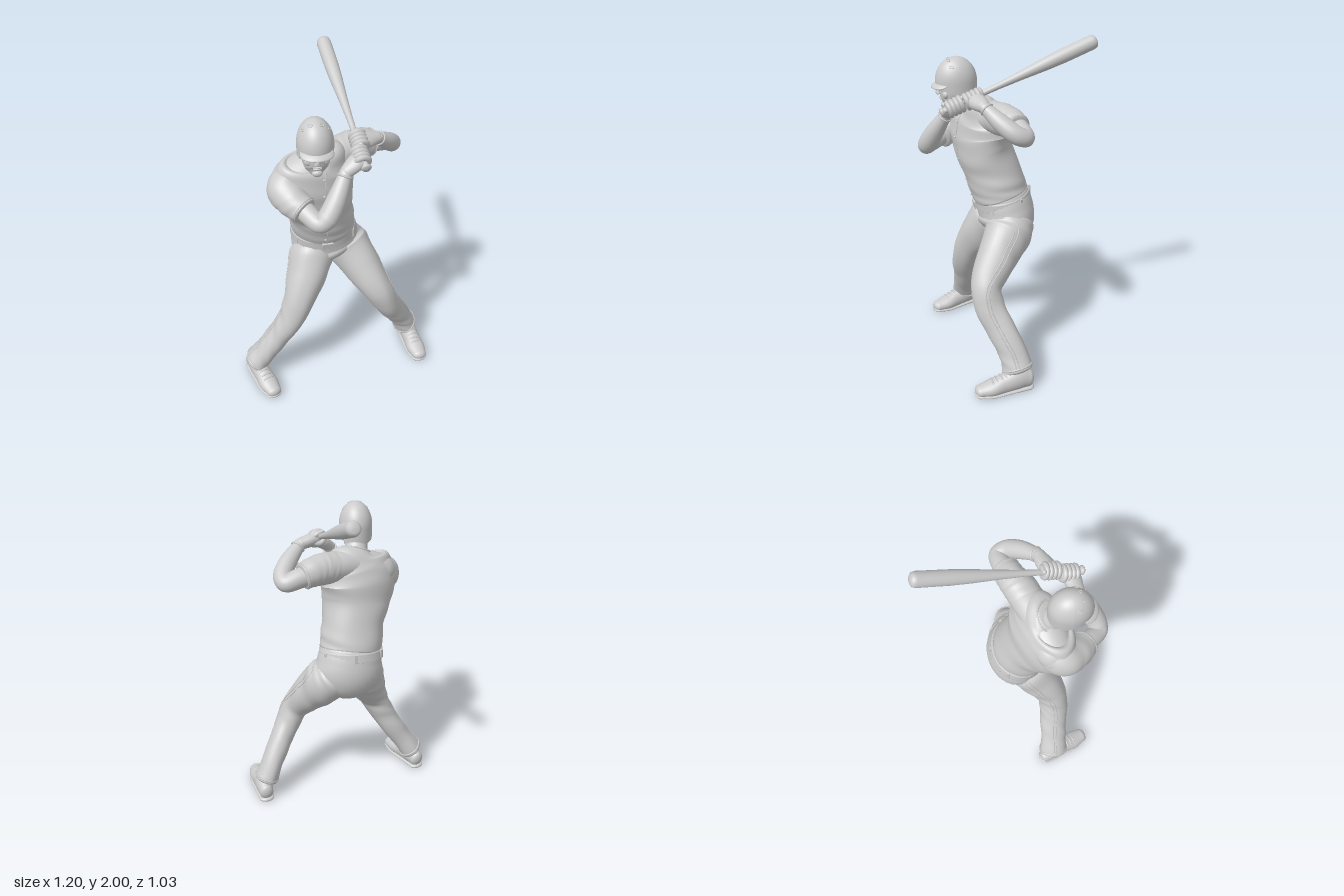
import * as THREE from 'three';

const V = (x, y, z) => new THREE.Vector3(x, y, z);
const grey = new THREE.MeshStandardMaterial({ color: 0xcccccc, side: THREE.DoubleSide });
const X = V(1, 0, 0);

function add(parent, name, geometry, position, scale, rotation) {
  const mesh = new THREE.Mesh(geometry, grey);
  mesh.name = name;
  if (position) mesh.position.set(...position);
  if (scale) mesh.scale.set(...scale);
  if (rotation) mesh.rotation.set(...rotation);
  parent.add(mesh);
  return mesh;
}

// Smooth sweep through rings [x, y, z, radiusU, radiusV, twist]; returns a surface sampler
function sweep(parent, name, rings, { cap = 0.02, folds = 0, ref = X, n = 32, floor = false } = {}) {
  const path = new THREE.CatmullRomCurve3(rings.map(r => V(r[0], r[1], r[2])));
  const size = new THREE.CatmullRomCurve3(rings.map(r => V(r[3], r[4], r[5] || 0)), false, 'catmullrom', 0.4);
  const at = (t, angle, scale = 1, push = 0) => {
    const c = path.getPoint(t), T = path.getTangent(t), s = size.getPoint(t);
    const U = ref.clone().addScaledVector(T, -ref.dot(T)).normalize();
    const W = T.clone().cross(U);
    const f = scale * (1 + folds * Math.sin(t * 30 + 4 * Math.sin(angle + t * 5)) * Math.sin(angle * 2 + t * 9));
    const u = s.x * f * Math.cos(angle), v = s.y * f * Math.sin(angle);
    const cs = Math.cos(s.z), sn = Math.sin(s.z);
    const p = c.addScaledVector(U, u * cs - v * sn).addScaledVector(W, u * sn + v * cs).addScaledVector(T, push);
    if (floor) p.y = Math.max(p.y, 0);
    return p;
  };
  const rows = [], steps = (rings.length - 1) * 8;
  for (let k = 5; k > 0; k--) rows.push([0, Math.cos(k * Math.PI / 10) + 0.01, -cap * Math.sin(k * Math.PI / 10)]);
  for (let i = 0; i <= steps; i++) rows.push([i / steps, 1, 0]);
  for (let k = 1; k <= 5; k++) rows.push([1, Math.cos(k * Math.PI / 10) + 0.01, cap * Math.sin(k * Math.PI / 10)]);
  const pos = [], index = [];
  rows.forEach(([t, s, push], i) => {
    for (let j = 0; j < n; j++) {
      pos.push(...at(t, j / n * Math.PI * 2, s, push).toArray());
      if (i === rows.length - 1) continue;
      const a = i * n + j, b = i * n + (j + 1) % n;
      index.push(a, b, a + n, b, b + n, a + n);
    }
  });
  const g = new THREE.BufferGeometry();
  g.setAttribute('position', new THREE.Float32BufferAttribute(pos, 3));
  g.setIndex(index);
  g.computeVertexNormals();
  add(parent, name, g);
  return at;
}

// Thin raised seam following sampled surface points
function seam(parent, name, points, r = 0.005, closed = false) {
  add(parent, name, new THREE.TubeGeometry(new THREE.CatmullRomCurve3(points, closed), 60, r, 6, closed));
}
const range = (n, f) => Array.from({ length: n }, (_, i) => f(i));
const hoop = (at, t, scale = 1.01) => range(20, i => at(t, i / 20 * Math.PI * 2, scale));

export function createModel() {
  const model = new THREE.Group();
  model.name = 'batter';

  // Jersey, twisted toward the left shoulder
  const up = V(0.2, 1, 0.25).normalize();
  const shirt = sweep(model, 'jersey', [
    [-0.06, 1.03, 0.027, 0.19, 0.167, 0.08], [-0.07, 1.1, 0.05, 0.192, 0.17, 0.12],
    [-0.085, 1.2, 0.084, 0.192, 0.166, 0.2], [-0.108, 1.31, 0.124, 0.218, 0.166, 0.32],
    [-0.125, 1.42, 0.143, 0.25, 0.158, 0.4], [-0.115, 1.51, 0.152, 0.235, 0.135, 0.4],
    [-0.105, 1.57, 0.16, 0.17, 0.105, 0.35], [-0.115, 1.61, 0.18, 0.078, 0.074, 0.2]
  ], { folds: 0.014, cap: 0.01, n: 48 });
  sweep(model, 'shoulderYoke', [[0.12, 1.545, 0.03, 0.085, 0.09], [-0.02, 1.54, 0.1, 0.092, 0.1],
    [-0.13, 1.515, 0.155, 0.1, 0.112], [-0.25, 1.465, 0.19, 0.105, 0.115], [-0.3, 1.44, 0.215, 0.09, 0.095]],
    { ref: up, cap: 0.04 });
  seam(model, 'collar', hoop(shirt, 0.985, 1.01), 0.005, true);
  seam(model, 'placket', range(12, i => shirt(0.06 + i * 0.077, -Math.PI / 2 - 0.05, 1.002)), 0.003);
  range(5, i => add(model, 'button', new THREE.SphereGeometry(0.007, 10, 8),
    shirt(0.12 + i * 0.15, -Math.PI / 2 - 0.1, 1.005).toArray()));

  // Pelvis, belt and buckle
  sweep(model, 'pelvis', [
    [-0.06, 1.035, 0.025, 0.188, 0.162, -0.1], [-0.052, 0.97, 0.008, 0.2, 0.17, -0.1],
    [-0.04, 0.89, 0, 0.21, 0.17, -0.1], [-0.01, 0.82, 0.04, 0.15, 0.15, -0.1]
  ], { cap: 0.045 });
  sweep(model, 'belt', [[-0.06, 0.982, 0.014, 0.2, 0.173, 0.1], [-0.062, 1.035, 0.025, 0.196, 0.17, 0.1]],
    { cap: 0.002, n: 48 });
  add(model, 'buckle', new THREE.BoxGeometry(0.065, 0.044, 0.014), [-0.055, 0.975, 0.192], null, [0.2, 0.08, 0]);
  range(6, i => {
    const a = i / 6 * Math.PI * 2 + 0.5;
    add(model, 'beltLoop', new THREE.BoxGeometry(0.01, 0.055, 0.016),
      [-0.06 + 0.196 * Math.cos(a), 1.008 - 0.034 * Math.sin(a), 0.018 + 0.168 * Math.sin(a)], null, [0, -a, 0]);
  });

  // Trouser legs with outer piping and hems
  const legs = {
    right: [[-0.12, 0.9, 0.045, 0.11, 0.125], [-0.14, 0.84, 0.08, 0.13, 0.14], [-0.18, 0.73, 0.14, 0.122, 0.125],
      [-0.243, 0.58, 0.215, 0.092, 0.098], [-0.297, 0.46, 0.228, 0.08, 0.091], [-0.368, 0.34, 0.22, 0.073, 0.088],
      [-0.45, 0.22, 0.217, 0.07, 0.085], [-0.522, 0.115, 0.21, 0.076, 0.092]],
    left: [[0.05, 0.91, -0.015, 0.115, 0.13], [0.085, 0.85, 0, 0.135, 0.147], [0.165, 0.73, 0.075, 0.122, 0.125],
      [0.267, 0.58, 0.165, 0.092, 0.096], [0.322, 0.47, 0.155, 0.079, 0.088], [0.387, 0.35, 0.1, 0.072, 0.087],
      [0.45, 0.23, 0.04, 0.069, 0.085], [0.495, 0.125, 0.012, 0.074, 0.09]]
  };
  for (const side in legs) {
    const leg = sweep(model, side + 'Leg', legs[side], { folds: 0.035, cap: 0.025 });
    const out = side === 'left' ? 0 : Math.PI;
    for (const d of [-0.1, 0.1])
      seam(model, side + 'Piping', range(24, i => leg(0.08 + i * 0.039, out + d, 0.995)), 0.003);
    seam(model, side + 'Hem', hoop(leg, 0.985, 1), 0.006, true);
  }

  // Shoes: upper, sole, laces
  for (const [side, x, z, yaw] of [['left', 0.5, -0.07, 0.16], ['right', -0.56, 0.13, 0.41]]) {
    const shoe = new THREE.Group();
    shoe.name = side + 'Shoe';
    shoe.position.set(x, 0, z);
    shoe.rotation.y = yaw;
    const upper = sweep(shoe, 'upper', [[0, 0.06, 0.02, 0.045, 0.055], [0, 0.07, 0.09, 0.054, 0.07],
      [0, 0.055, 0.17, 0.054, 0.062], [0, 0.042, 0.25, 0.06, 0.047], [0, 0.036, 0.32, 0.046, 0.034]],
      { cap: 0.03, floor: true });
    sweep(shoe, 'sole', [[0, 0.01, 0.02, 0.048, 0.018], [0, 0.01, 0.12, 0.054, 0.016],
      [0, 0.01, 0.25, 0.062, 0.016], [0, 0.014, 0.32, 0.048, 0.016]], { cap: 0.033, floor: true });
    range(4, i => seam(shoe, 'lace', range(6, k => upper(0.45 + i * 0.09, 1.0 + k * 0.23, 1.02)), 0.005));
    model.add(shoe);
  }

  // Bat along its axis
  const knob = V(0.125, 1.615, 0.387), axis = V(0.018, 1.965, -0.507).sub(knob);
  const length = axis.length();
  const bat = new THREE.Group();
  bat.name = 'bat';
  bat.position.copy(knob);
  bat.quaternion.setFromUnitVectors(V(0, 1, 0), axis.normalize());
  const profile = [[0.001, -0.008], [0.022, -0.006], [0.028, 0.002], [0.024, 0.012], [0.015, 0.022], [0.0145, 0.2],
    [0.018, 0.35], [0.026, 0.5], [0.036, 0.64], [0.041, 0.76], [0.042, length - 0.03], [0.037, length - 0.009],
    [0.024, length - 0.001], [0.001, length]];
  add(bat, 'batBody', new THREE.LatheGeometry(profile.map(p => new THREE.Vector2(...p)), 32));
  model.add(bat);
  bat.updateMatrixWorld(true);

  // Arms: sleeve, bare arm, cuff, hand and gripping fingers
  const arms = [
    { side: 'left', grip: 0.19, wrist: V(0.22, 1.665, 0.16),
      sleeve: [[-0.02, 1.535, 0.1, 0.09, 0.095], [0.09, 1.55, 0.045, 0.093, 0.095], [0.16, 1.55, 0.005, 0.086, 0.085],
        [0.225, 1.537, -0.02, 0.078, 0.078]],
      arm: [[0.14, 1.55, 0.0, 0.06, 0.06], [0.25, 1.53, -0.035, 0.058, 0.058], [0.325, 1.513, -0.05, 0.05, 0.052],
        [0.34, 1.535, 0.0, 0.052, 0.054], [0.3, 1.59, 0.075, 0.05, 0.052], [0.22, 1.665, 0.16, 0.033, 0.036]] },
    { side: 'right', grip: 0.085, wrist: V(0.025, 1.58, 0.35),
      sleeve: [[-0.15, 1.47, 0.15, 0.09, 0.1], [-0.245, 1.452, 0.19, 0.115, 0.11], [-0.292, 1.43, 0.235, 0.11, 0.104],
        [-0.268, 1.403, 0.305, 0.094, 0.09], [-0.205, 1.37, 0.375, 0.077, 0.077]],
      arm: [[-0.26, 1.41, 0.29, 0.06, 0.06], [-0.19, 1.365, 0.395, 0.056, 0.056], [-0.13, 1.34, 0.464, 0.05, 0.05],
        [-0.09, 1.37, 0.456, 0.058, 0.058], [-0.04, 1.45, 0.42, 0.054, 0.054], [0.025, 1.58, 0.35, 0.033, 0.036]] }
  ];
  for (const { side, grip, wrist, sleeve, arm } of arms) {
    const cloth = sweep(model, side + 'Sleeve', sleeve, { ref: up, folds: 0.02, cap: 0.012 });
    seam(model, side + 'SleeveHem', hoop(cloth, 0.98, 1), 0.003, true);
    const skin = sweep(model, side + 'Arm', arm, { ref: V(0.3, 0.5, -0.8).normalize(), cap: 0.02, n: 24 });
    seam(model, side + 'WristCuff', hoop(skin, 0.97, 1.02), 0.006, true);
    const hold = knob.clone().addScaledVector(axis, grip);
    const mid = wrist.clone().lerp(hold, 0.5);
    sweep(model, side + 'Hand', [[...wrist.toArray(), 0.038, 0.035], [...mid.toArray(), 0.052, 0.039],
      [...hold.toArray(), 0.05, 0.041]], { ref: axis, n: 20 });
    const thumb = bat.worldToLocal(mid.clone());
    const toPalm = V(thumb.x, 0, thumb.z).normalize().multiplyScalar(0.01);
    range(4, i => add(bat, side + 'Finger', new THREE.TorusGeometry(0.03, 0.0165, 10, 24),
      [toPalm.x, grip - 0.036 + i * 0.024, toPalm.z], [1.12, 1.12, 0.95], [Math.PI / 2, 0, 0]));
    sweep(bat, side + 'Thumb', [[thumb.x * 0.9, grip + 0.02, thumb.z * 0.9, 0.019, 0.019],
      [thumb.x * 0.4, grip + 0.05, thumb.z * 0.4 + 0.02, 0.017, 0.017],
      [-thumb.x * 0.2, grip + 0.055, 0.03, 0.013, 0.013]], { ref: V(0, 1, 0), cap: 0.01, n: 12 });
  }

  // Neck and head
  sweep(model, 'neck', [[-0.1, 1.53, 0.14, 0.09, 0.085], [-0.12, 1.6, 0.2, 0.068, 0.068], [-0.13, 1.68, 0.25, 0.066, 0.07]]);
  const head = new THREE.Group();
  head.name = 'head';
  head.position.set(-0.13, 1.73, 0.278);
  model.add(head);
  sweep(head, 'face', [[0, -0.152, 0.052, 0.034, 0.036], [0, -0.125, 0.035, 0.062, 0.066], [0, -0.07, 0.015, 0.078, 0.088],
    [0, -0.02, 0.003, 0.084, 0.103], [0, 0.05, 0, 0.08, 0.1]], { cap: 0.012 });
  sweep(head, 'nose', [[0, -0.03, 0.1, 0.01, 0.01], [0, -0.055, 0.107, 0.012, 0.014], [0, -0.072, 0.105, 0.019, 0.015]],
    { cap: 0.006, n: 16 });
  const ball = new THREE.SphereGeometry(1, 24, 16);
  for (const [y, z] of [[-0.098, 0.09], [-0.107, 0.088]])
    add(head, 'lip', ball, [0, y, z], [0.024, 0.006, 0.011]);
  add(head, 'chin', ball, [0, -0.142, 0.075], [0.028, 0.02, 0.018]);
  for (const s of [-1, 1]) {
    add(head, 'eye', ball, [s * 0.033, -0.046, 0.085], [0.014, 0.008, 0.01]);
    add(head, 'brow', ball, [s * 0.035, -0.03, 0.09], [0.03, 0.009, 0.014], [0, s * 0.4, 0]);
    add(head, 'cheek', ball, [s * 0.04, -0.072, 0.064], [0.03, 0.028, 0.022]);
    add(head, 'ear', ball, [s * 0.08, -0.06, -0.002], [0.011, 0.032, 0.02], [0.15, 0, 0]);
  }

  // Helmet shell, lower at the back, with curved brim and vents
  const shell = new THREE.SphereGeometry(1, 40, 24, 0, Math.PI * 2, 0, Math.PI * 0.62);
  const p = shell.attributes.position;
  for (let i = 0; i < p.count; i++) {
    const y = p.getY(i), z = p.getZ(i), k = y < 0 ? 1.25 - 0.6 * z : 1;
    const r = y < 0 ? 1 / Math.sqrt(1 - y * y * 0.8) : 1;
    p.setXYZ(i, p.getX(i) * 0.099 * r, y * 0.14 * k, z * 0.122 * r);
  }
  shell.computeVertexNormals();
  add(head, 'helmet', shell);
  const brim = ball.clone(), q = brim.attributes.position;
  for (let i = 0; i < q.count; i++) {
    const x = q.getX(i), z = q.getZ(i);
    q.setXYZ(i, x * 0.09, q.getY(i) * 0.018 - 0.014 * x * x - 0.022 * z, z * 0.07);
  }
  brim.computeVertexNormals();
  add(head, 'brim', brim, [0, -0.01, 0.077]);
  for (const [x, z] of [[-0.03, 0.045], [0.03, 0.045], [-0.07, 0.03], [0.07, 0.03]]) {
    const y = 0.14 * Math.sqrt(1 - (x / 0.099) ** 2 - (z / 0.122) ** 2);
    const normal = V(x / 0.0098, y / 0.0196, z / 0.0149).normalize();
    add(head, 'vent', new THREE.TorusGeometry(0.01, 0.003, 8, 20), [x, y, z], [1.2, 0.8, 1])
      .quaternion.setFromUnitVectors(V(0, 0, 1), normal);
  }
  return model;
}
